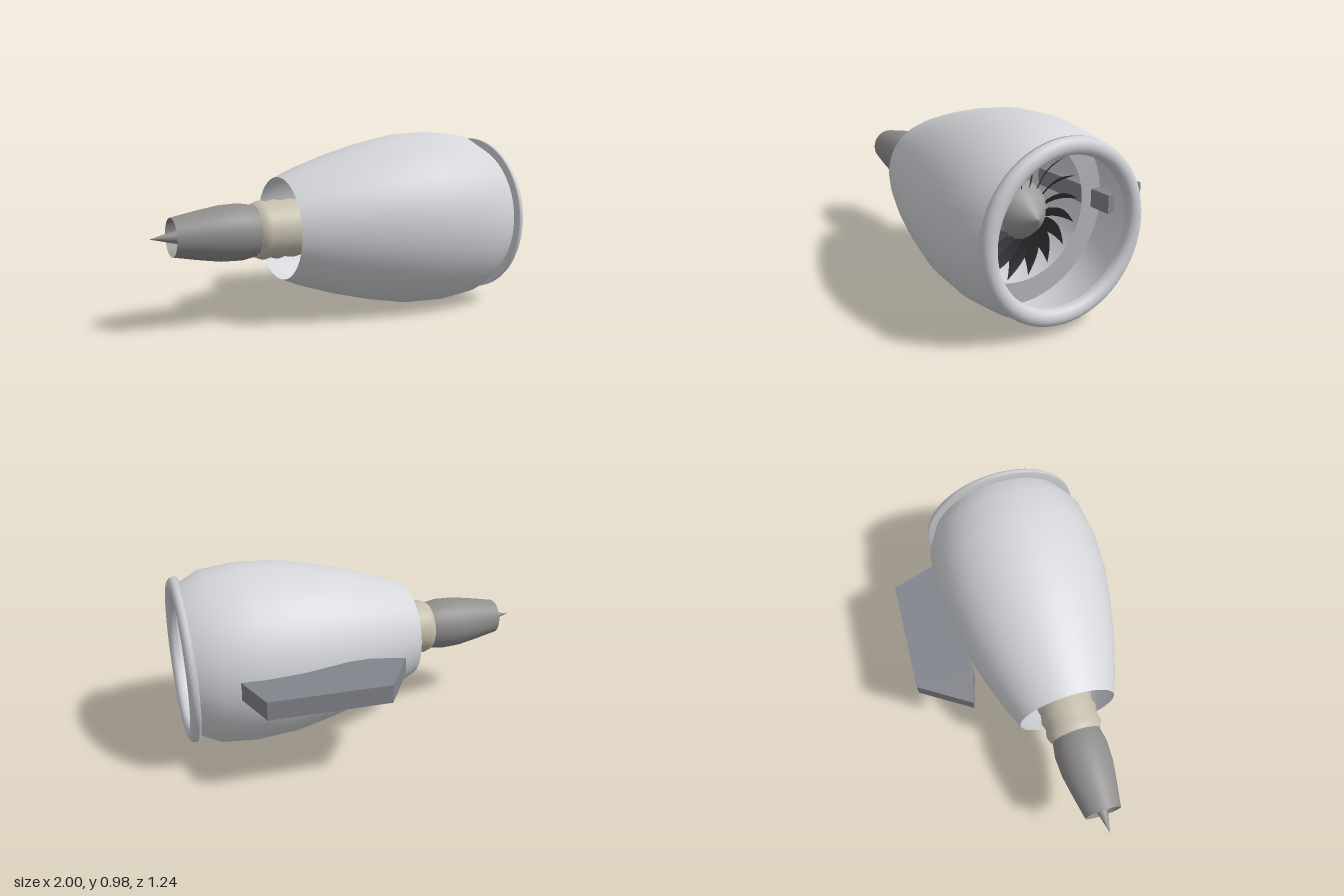
import * as THREE from 'three';

const mat = (color) => new THREE.MeshStandardMaterial({ color, side: THREE.DoubleSide });
const shellMat = mat(0xd4d6da), lipMat = mat(0xcfd1d6), bulkheadMat = mat(0xb4b6bd);
const bladeMat = mat(0x3d3c41), spinnerMat = mat(0x9a9a9a), coreMat = mat(0xc6bfae);
const nozzleMat = mat(0x918e8e), pylonMat = mat(0x83858c);

// Lathe about the x axis from [x, radius] pairs, listed from rear to front
function turned(name, profile, material, segments = 64) {
  const points = profile.map(([x, r]) => new THREE.Vector2(r, x));
  const geometry = new THREE.LatheGeometry(points, segments);
  geometry.rotateZ(-Math.PI / 2);
  const mesh = new THREE.Mesh(geometry, material);
  mesh.name = name;
  return mesh;
}

// Pointed, twisted blade: the chord shrinks to nothing at the tip
function bladeGeometry() {
  const rows = 8, rootR = 0.12, tipR = 0.363;
  const positions = [], index = [];
  for (let i = 0; i <= rows; i++) {
    const t = i / rows;
    const r = rootR + (tipR - rootR) * t;
    const half = 0.215 * (tipR - r);
    const axial = 0.06 * (1 - t);
    const sweep = 0.03 * Math.sin(Math.PI * t);
    for (const s of [-1, 0, 1]) {
      const camber = s === 0 ? 0.012 * (1 - t) : 0;
      positions.push(s * axial + camber, r, s * half + sweep);
    }
    if (i === rows) continue;
    for (let j = 0; j < 2; j++) {
      const a = i * 3 + j, b = a + 1, c = a + 3, d = a + 4;
      index.push(a, b, c, b, d, c);
    }
  }
  const geometry = new THREE.BufferGeometry();
  geometry.setAttribute('position', new THREE.Float32BufferAttribute(positions, 3));
  geometry.setIndex(index);
  geometry.computeVertexNormals();
  return geometry;
}

export function createModel() {
  const model = new THREE.Group();
  model.name = 'jetEngine';

  // Everything turned shares one axis
  const engine = new THREE.Group();
  engine.name = 'engineBody';
  engine.position.set(0, 0.49, 0.13);
  model.add(engine);

  // Outer cowling, open at both ends
  engine.add(turned('cowling', [
    [-0.305, 0.27], [-0.19, 0.317], [0, 0.38], [0.2, 0.433], [0.42, 0.477],
    [0.64, 0.488], [0.83, 0.468], [0.95, 0.405],
  ], shellMat));

  // Rounded inlet lip with a flat back
  const lip = [[0.95, 0.363], [0.95, 0.445]];
  for (let i = 0; i <= 12; i++) {
    const a = (i / 12) * Math.PI;
    lip.push([0.965 + 0.035 * Math.sin(a), 0.404 + 0.041 * Math.cos(a)]);
  }
  lip.push([0.95, 0.363]);
  engine.add(turned('inletLip', lip, lipMat));

  // Ring wall around the fan
  engine.add(turned('fanBulkhead', [[0.63, 0.484], [0.63, 0.365]], bulkheadMat));

  // Fan: spinner and 18 blades
  const fan = new THREE.Group();
  fan.name = 'fan';
  engine.add(fan);
  fan.add(turned('spinner', [
    [0.52, 0], [0.52, 0.145], [0.58, 0.153], [0.63, 0.14], [0.69, 0.095], [0.74, 0.04], [0.765, 0],
  ], spinnerMat, 48));
  const blade = bladeGeometry();
  for (let i = 0; i < 18; i++) {
    const mesh = new THREE.Mesh(blade, bladeMat);
    mesh.name = 'fanBlade';
    mesh.position.x = 0.6;
    mesh.rotation.x = Math.PI / 2 + (i / 18) * Math.PI * 2;
    fan.add(mesh);
  }

  // Ribbed core running back from the fan
  engine.add(turned('core', [
    [-0.455, 0.135], [-0.44, 0.145], [-0.41, 0.155], [-0.37, 0.146], [-0.33, 0.157],
    [-0.29, 0.147], [-0.24, 0.155], [-0.18, 0.145], [0.52, 0.14],
  ], coreMat, 48));

  // Exhaust nozzle, open at the rear
  engine.add(turned('exhaustNozzle', [
    [-0.89, 0.098], [-0.76, 0.123], [-0.64, 0.143], [-0.53, 0.147], [-0.455, 0.134],
  ], nozzleMat, 48));

  // Pointed plug inside the nozzle
  engine.add(turned('exhaustPlug', [[-1, 0], [-0.89, 0.027], [-0.72, 0.065], [-0.6, 0.07]], nozzleMat, 32));

  // Pylon: plan outline in x and z, extruded in height
  const outline = [[-0.12, -0.35], [0.06, -0.62], [0.68, -0.585], [0.765, -0.295], [0.06, -0.295]];
  const shape = new THREE.Shape(outline.map(([x, z]) => new THREE.Vector2(x, -z)));
  const pylonGeometry = new THREE.ExtrudeGeometry(shape, { depth: 0.096, bevelEnabled: false });
  pylonGeometry.rotateX(-Math.PI / 2);
  const pylon = new THREE.Mesh(pylonGeometry, pylonMat);
  pylon.name = 'pylon';
  pylon.position.y = 0.442;
  model.add(pylon);

  return model;
}
